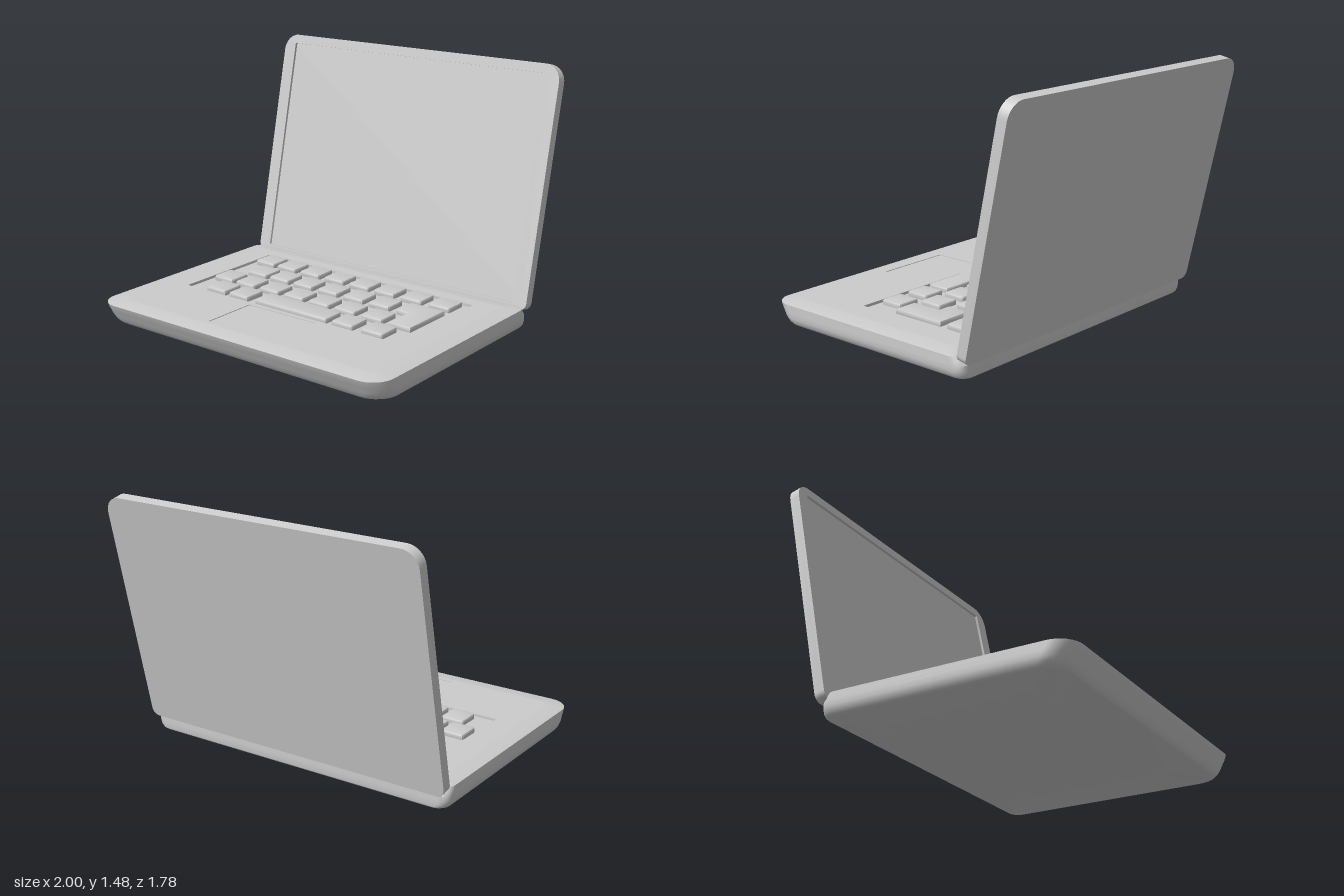
import * as THREE from 'three';
import { toCreasedNormals } from 'three/addons/utils/BufferGeometryUtils.js';

const material = new THREE.MeshStandardMaterial({ color: 0xcccccc });

function part(name, geometry, crease = 0.6) {
  const mesh = new THREE.Mesh(toCreasedNormals(geometry, crease), material);
  mesh.name = name;
  return mesh;
}

// Counter-clockwise rounded rectangle; r0 rounds the low-y corners, r1 the high-y ones
function roundedRect(x0, x1, y0, y1, r0, r1 = r0, steps = 8) {
  const corners = [[x1 - r0, y0 + r0, r0, -1], [x1 - r1, y1 - r1, r1, 0],
    [x0 + r1, y1 - r1, r1, 1], [x0 + r0, y0 + r0, r0, 2]];
  const points = [];
  for (const [cx, cy, r, quarter] of corners) {
    for (let i = 0; i <= steps; i++) {
      const a = (quarter + i / steps) * Math.PI / 2;
      points.push(new THREE.Vector2(cx + r * Math.cos(a), cy + r * Math.sin(a)));
    }
  }
  return points;
}

const rectPath = (x0, x1, y0, y1) => new THREE.Path(roundedRect(x0, x1, y0, y1, 0.004, 0.004, 2));

// Horizontal outline of the base: half width, back z, front z, inset
function baseOutline(halfX, back, front, inset) {
  const rFront = Math.max(0.13 - inset * 0.6, 0.03), rBack = Math.max(0.06 - inset * 0.4, 0.02);
  return roundedRect(-halfX + inset, halfX - inset, -front + inset, -back - inset, rFront, rBack);
}

// Skin through stacked outlines, closed underneath
function loft(rings) {
  const positions = [], index = [], n = rings[0].points.length;
  for (const { y, points } of rings) for (const p of points) positions.push(p.x, y, -p.y);
  const centre = positions.length / 3;
  positions.push(0, rings[0].y, 0.1);
  for (let j = 0; j < n; j++) {
    const k = (j + 1) % n;
    index.push(centre, k, j);
    for (let i = 0; i < rings.length - 1; i++) {
      const a = i * n + j, b = i * n + k;
      index.push(a, b, b + n, a, b + n, a + n);
    }
  }
  const geometry = new THREE.BufferGeometry();
  geometry.setAttribute('position', new THREE.Float32BufferAttribute(positions, 3));
  geometry.setIndex(index);
  return geometry;
}

// Horizontal plate raised from a shape drawn in (x, -z)
function plate(shape, y, depth, options = {}) {
  return new THREE.ExtrudeGeometry(shape, { depth, bevelEnabled: false, ...options })
    .rotateX(-Math.PI / 2).translate(0, y, 0);
}

function buildBase() {
  const base = new THREE.Group();
  base.name = 'base';

  // Shell: y, half width, back z, front z, inset
  const sections = [
    [0, 0.965, -0.555, 0.815, 0], [0.008, 0.98, -0.563, 0.826, 0], [0.025, 0.993, -0.566, 0.838, 0],
    [0.05, 1, -0.566, 0.852, 0], [0.08, 1, -0.566, 0.868, 0], [0.1, 1, -0.55, 0.88, 0],
    [0.124, 1, -0.535, 0.89, 0], [0.131, 1, -0.535, 0.89, 0.03], [0.138, 1, -0.535, 0.89, 0.1],
  ];
  base.add(part('baseShell', loft(sections.map(([y, ...s]) => ({ y, points: baseOutline(...s) })))));

  // Deck with openings for the keyboard and trackpad
  const deck = new THREE.Shape(baseOutline(1, -0.535, 0.89, 0.1));
  deck.holes.push(rectPath(-0.765, 0.76, -0.39, 0.355), rectPath(-0.25, 0.23, -0.76, -0.42));
  base.add(part('deck', plate(deck, 0.118, 0.02)));

  const well = new THREE.BoxGeometry(1.56, 0.02, 0.78).translate(0, 0.112, 0.017);
  base.add(part('keyboardWell', well));
  const pad = new THREE.Shape(roundedRect(-0.248, 0.228, -0.758, -0.422, 0.004));
  base.add(part('trackpad', plate(pad, 0.115, 0.02)));
  return base;
}

function buildKeyboard() {
  const keyboard = new THREE.Group();
  keyboard.name = 'keyboard';
  const bevel = 0.012;
  const addKey = (name, points) => keyboard.add(part(name, plate(new THREE.Shape(points), 0.118, 0.025, {
    bevelEnabled: true, bevelSize: bevel, bevelThickness: 0.01, bevelSegments: 2,
  }), 0.5));

  // Each row: back z, then left edges of its square keys
  const size = 0.146;
  const full = [-0.738, -0.567, -0.383, -0.198, -0.012, 0.173, 0.365];
  const rows = [
    [-0.337, [...full, 0.558]],
    [-0.146, [-0.637, -0.465, -0.283, -0.096, 0.09, 0.276]],
    [0.044, full],
    [0.22, [-0.637, -0.463, 0.294, 0.496]],
  ];
  const rectKey = (name, x0, x1, z) => addKey(name,
    roundedRect(x0 + bevel, x1 - bevel, -z - size + bevel, -z - bevel, 0.006, 0.006, 2));
  for (const [z, lefts] of rows) for (const x of lefts) rectKey('key', x, x + size, z);
  rectKey('spaceBar', -0.263, 0.26, 0.22);

  // L-shaped key spanning two rows
  const corners = [[0.57, -0.178], [0.692, -0.178], [0.692, 0.134], [0.49, 0.134], [0.49, 0.012], [0.57, 0.012]];
  addKey('enterKey', corners.map(([x, y]) => new THREE.Vector2(x, y)));
  return keyboard;
}

function buildLid() {
  const lid = new THREE.Group();
  lid.name = 'lid';
  const outline = () => new THREE.Shape(roundedRect(-1, 1, 0, 1.41, 0.045, 0.1));
  const slab = (shape, z, depth) =>
    new THREE.ExtrudeGeometry(shape, { depth, bevelEnabled: false }).translate(0, 0, z);

  // Back panel carries the screen surface; the bezel frames it
  lid.add(part('screenPanel', slab(outline(), -0.062, 0.046)));
  const bezel = outline();
  bezel.holes.push(rectPath(-0.918, 0.912, 0.035, 1.355));
  lid.add(part('bezel', slab(bezel, -0.016, 0.016)));

  lid.position.set(0, 0.103, -0.53);
  lid.rotation.x = -0.214;
  return lid;
}

export function createModel() {
  const model = new THREE.Group();
  model.name = 'laptop';
  model.add(buildBase(), buildKeyboard(), buildLid());
  return model;
}
